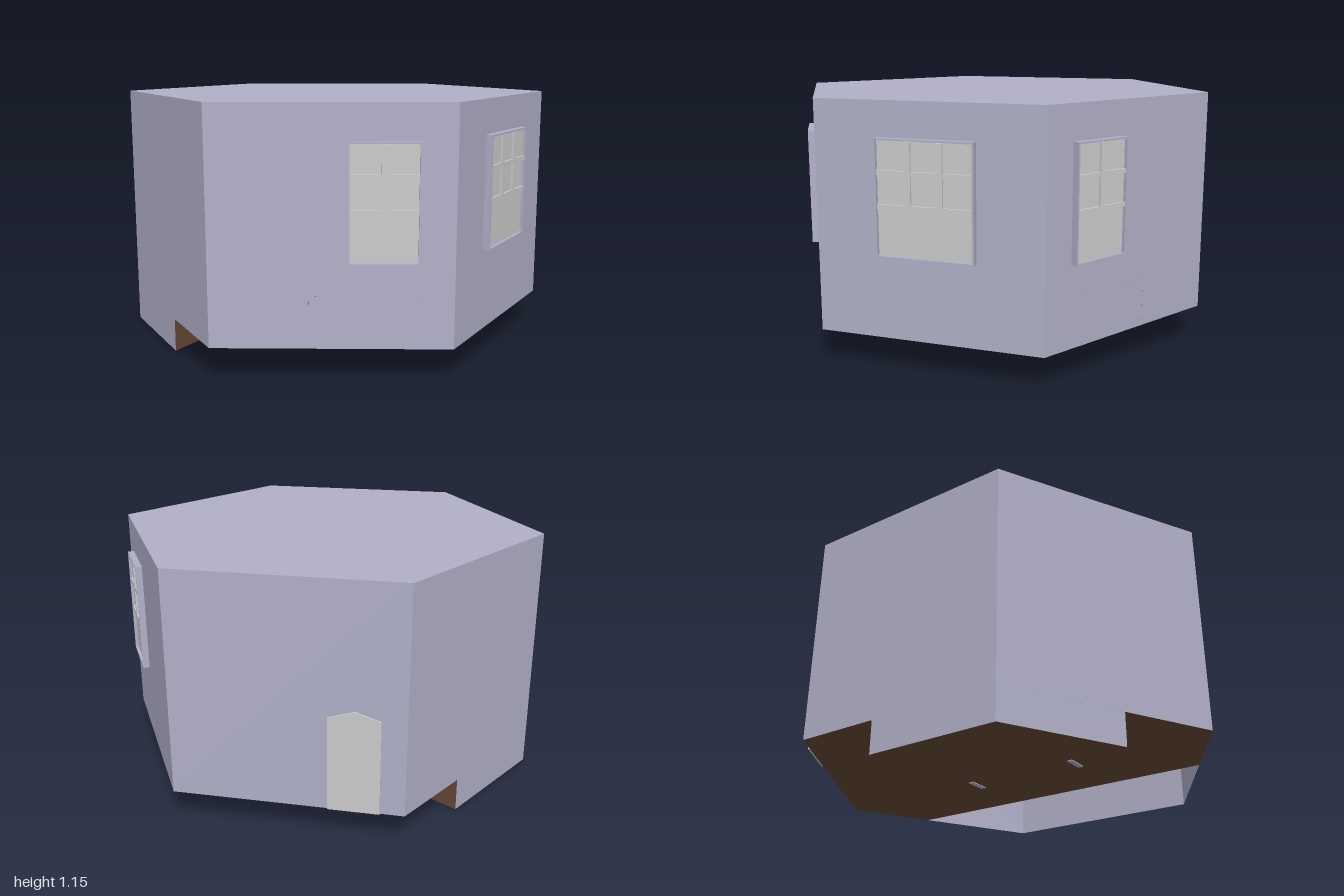
import * as THREE from 'three';

const mat = (color) => new THREE.MeshStandardMaterial({ color, side: THREE.DoubleSide, flatShading: true });
const wallMat = mat(0xb1b0c8), floorMat = mat(0x684a37), grey = mat(0xcccccc);

// hexagon outline as [x, z], counter-clockwise seen from above
const HEX = [[-0.88, 0.5], [-0.015, 1], [0.85, 0.5], [0.85, -0.5], [-0.015, -1], [-0.88, -0.5]];
const FLOOR = 0.15, TOP = 1.15, RAISED = 0.37;

function add(parent, name, geometry, material) {
  const mesh = new THREE.Mesh(geometry, material);
  mesh.name = name;
  parent.add(mesh);
  return mesh;
}

function box(parent, name, material, w, h, d, x, y, z) {
  add(parent, name, new THREE.BoxGeometry(w, h, d), material).position.set(x, y, z);
}

// vertical ribbon along a path of [x, z] points
function ribbon(path, y0, y1) {
  const v = [];
  for (let i = 0; i + 1 < path.length; i++) {
    const [ax, az] = path[i], [bx, bz] = path[i + 1];
    v.push(ax, y0, az, bx, y0, bz, bx, y1, bz, ax, y0, az, bx, y1, bz, ax, y1, az);
  }
  const g = new THREE.BufferGeometry();
  g.setAttribute('position', new THREE.Float32BufferAttribute(v, 3));
  g.computeVertexNormals();
  return g;
}

// horizontal polygon facing up (dir 1) or down (dir -1)
function slab(path, y, dir) {
  const shape = new THREE.Shape(path.map(([x, z]) => new THREE.Vector2(x, -dir * z)));
  return new THREE.ShapeGeometry(shape).rotateX(-dir * Math.PI / 2).translate(0, y, 0);
}

// group on wall number i, at fraction t along it, facing outward along its +z
function onWall(parent, name, i, t) {
  const [ax, az] = HEX[i], [bx, bz] = HEX[(i + 1) % 6];
  const g = new THREE.Group();
  g.name = name;
  g.position.set(ax + (bx - ax) * t, 0, az + (bz - az) * t);
  g.rotation.y = Math.atan2(-(bz - az), bx - ax);
  parent.add(g);
  return g;
}

function addWindow(parent, name, i, t, w, columns) {
  const g = onWall(parent, name, i, t);
  const y0 = 0.505, y1 = 1.0, cy = (y0 + y1) / 2, h = y1 - y0, rim = 0.008, depth = 0.03;
  // outer casing
  for (const s of [-1, 1]) {
    box(g, 'casingSide', wallMat, rim, h, depth, s * (w - rim) / 2, cy, depth / 2);
    box(g, 'casingRail', wallMat, w, rim, depth, 0, cy + s * (h - rim) / 2, depth / 2);
  }
  // glass with glazing bars
  const iw = w - 2 * rim;
  box(g, 'glass', grey, iw, h - 2 * rim, 0.016, 0, cy, 0.008);
  for (const y of [0.72, 0.86]) box(g, 'crossBar', grey, iw, 0.02, 0.026, 0, y, 0.013);
  for (let c = 1; c < columns; c++) {
    box(g, 'uprightBar', grey, 0.024, 0.27, 0.027, -iw / 2 + iw * c / columns, 0.855, 0.0135);
  }
}

export function createModel() {
  const house = new THREE.Group();
  house.name = 'hexagonalHouse';

  // outer walls and roof
  add(house, 'walls', ribbon([...HEX, HEX[0]], FLOOR, TOP), wallMat);
  add(house, 'roof', slab(HEX, TOP, 1), wallMat);

  // main floor, and the raised floor on the left with its step
  const sx = 0.34, sz = 0.795;
  add(house, 'floor', slab([HEX[0], HEX[1], [sx, sz], [sx, -sz], HEX[4], HEX[5]], FLOOR, -1), floorMat);
  add(house, 'raisedFloor', slab([[sx, sz], HEX[2], HEX[3], [sx, -sz]], RAISED, -1), floorMat);
  add(house, 'floorStep', ribbon([[sx, sz], [sx, -sz]], FLOOR, RAISED), floorMat);

  // sunken pit below the front right corner
  const pit = [[-0.88, -0.11], HEX[0], [-0.39, 0.783], [-0.39, -0.11]];
  add(house, 'pitOuterWalls', ribbon(pit.slice(0, 3), 0, FLOOR), wallMat);
  add(house, 'pitInnerWalls', ribbon([pit[2], pit[3], pit[0]], 0, FLOOR), floorMat);
  add(house, 'pitFloor', slab(pit, 0, -1), floorMat);
  box(house, 'pitStep', grey, 0.02, 0.025, 0.09, -0.394, 0.138, 0);

  // thin feet showing through the floor
  for (const z of [-0.22, 0.33]) box(house, 'floorPeg', wallMat, 0.1, 0.006, 0.025, 0.005, 0.148, z);

  // windows
  addWindow(house, 'frontWindow', 1, 0.711, 0.29, 2);
  addWindow(house, 'sideWindow', 2, 0.5, 0.43, 3);
  addWindow(house, 'backWindow', 3, 0.289, 0.29, 2);

  // pointed door
  const w = 0.11;
  const shape = new THREE.Shape([[-w, 0], [w, 0], [w, 0.42], [0, 0.455], [-w, 0.42]]
    .map(([x, y]) => new THREE.Vector2(x, y)));
  const door = onWall(house, 'doorway', 4, 0.786);
  add(door, 'door', new THREE.ExtrudeGeometry(shape, { depth: 0.008, bevelEnabled: false }), grey).position.y = FLOOR;

  return house;
}
